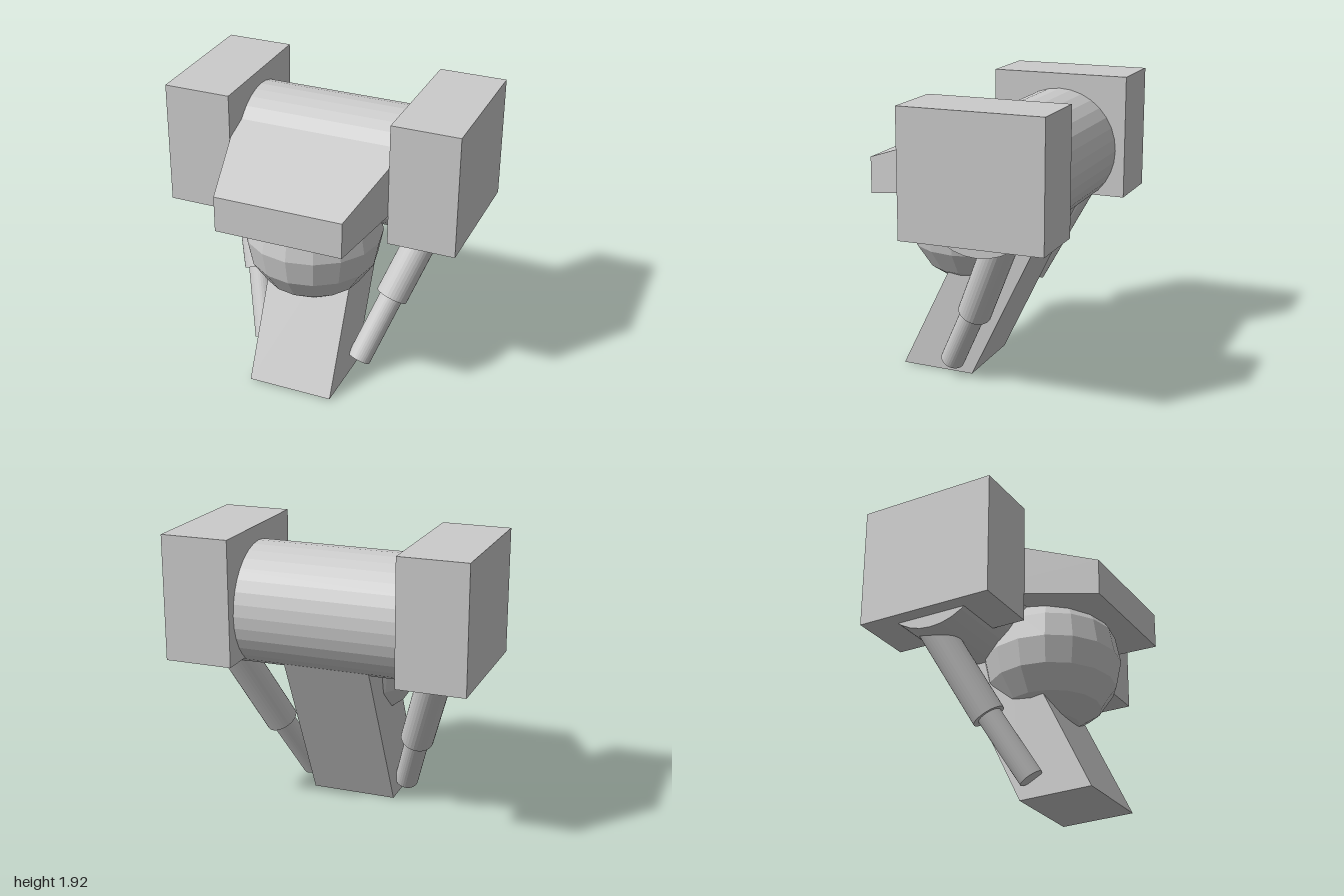
import * as THREE from 'three';

export function createModel() {
  const model = new THREE.Group();
  const material = new THREE.MeshStandardMaterial({ color: 0xcccccc, flatShading: true });

  const add = (name, geometry, x = 0, y = 0, z = 0) => {
    const mesh = new THREE.Mesh(geometry, material);
    mesh.name = name;
    mesh.position.set(x, y, z);
    model.add(mesh);
    return mesh;
  };

  // Straight rod between two points
  const rod = (name, from, to, radius) => {
    const axis = to.clone().sub(from);
    const mesh = add(name, new THREE.CylinderGeometry(radius, radius, axis.length(), 32));
    mesh.position.copy(from).add(to).multiplyScalar(0.5);
    mesh.quaternion.setFromUnitVectors(new THREE.Vector3(0, 1, 0), axis.normalize());
  };

  // Horizontal drum running between the side pods
  add('bodyDrum', new THREE.CylinderGeometry(0.405, 0.405, 1.8, 32), 0, 1.417, -0.24).rotation.z = Math.PI / 2;

  // Faceted ball under the snout
  add('ball', new THREE.SphereGeometry(0.46, 16, 8), 0, 1.03, 0.14);

  // Snout: box tapering toward the front
  const snout = new THREE.BoxGeometry(2, 1, 1);
  const sp = snout.attributes.position;
  for (let i = 0; i < sp.count; i++) {
    const front = sp.getZ(i) > 0;
    const top = sp.getY(i) > 0;
    const halfWidth = front ? 0.43 : 0.65;
    const y = front ? (top ? 1.463 : 1.22) : (top ? 1.78 : 1.355);
    sp.setXYZ(i, Math.sign(sp.getX(i)) * halfWidth, y, front ? 0.71 : -0.2);
  }
  snout.computeVertexNormals();
  add('snout', snout);

  // Central leg: box sheared so it leans back as it rises
  const leg = new THREE.BoxGeometry(0.58, 1.2, 0.5);
  leg.translate(0, 0.6, 0.31);
  const lp = leg.attributes.position;
  for (let i = 0; i < lp.count; i++) {
    lp.setZ(i, lp.getZ(i) - 0.48 * lp.getY(i));
    // The front edge of the sole sits slightly higher
    if (lp.getY(i) < 0.01 && lp.getZ(i) > 0.3) lp.setY(i, 0.01);
  }
  leg.computeVertexNormals();
  add('centralLeg', leg);

  // Side pods and telescopic struts, mirrored
  for (const [side, s] of [['left', 1], ['right', -1]]) {
    add(side + 'Pod', new THREE.BoxGeometry(0.452, 0.828, 0.945), s * 0.774, 1.511, -0.237);
    const top = new THREE.Vector3(s * 0.735, 1.2, -0.38);
    const joint = new THREE.Vector3(s * 0.49, 0.517, -0.05);
    const foot = new THREE.Vector3(s * 0.347, 0.108, 0.175);
    rod(side + 'StrutSleeve', top, joint, 0.11);
    rod(side + 'StrutRod', joint.clone().lerp(top, 0.2), foot, 0.08);
  }

  return model;
}
